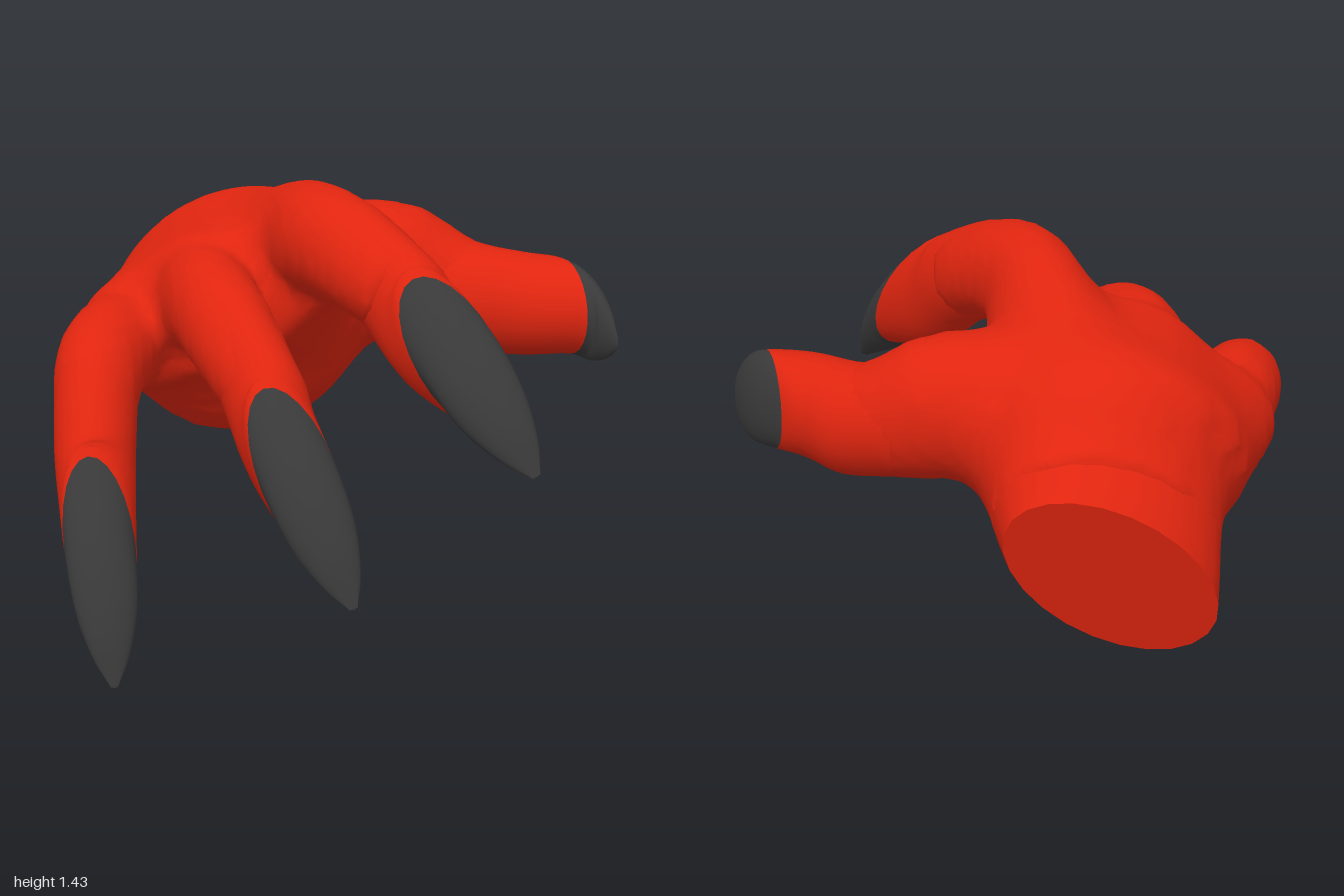
import * as THREE from 'three';

const SIDES = 24, STEPS = 5, BLEND = 0.1, CELL = 0.036;
const vec = (a) => new THREE.Vector3(...a);

// Smooth elliptical cross-sections through rings { top, bottom, w }; u counts rings
function sectionsOf(rings, facing) {
  const curve = (f) => new THREE.CatmullRomCurve3(rings.map(f), false, 'catmullrom', 0.5);
  const tops = curve((r) => r.top), bottoms = curve((r) => r.bottom);
  const widths = curve((r) => new THREE.Vector3(r.w, 0, 0));
  return (u) => {
    const t = u / (rings.length - 1), up = tops.getPoint(t);
    const centre = up.clone().add(bottoms.getPoint(t)).multiplyScalar(0.5);
    up.sub(centre);
    return { centre, up, side: up.clone().cross(facing).setLength(widths.getPoint(t).x) };
  };
}

// Skins the sections from ring 'from' to ring 'to'
function loft(section, from, to, capStart, capEnd) {
  const pos = [], index = [], count = (to - from) * STEPS;
  for (let i = 0; i <= count; i++) {
    const { centre, up, side } = section(from + i / STEPS);
    for (let j = 0; j < SIDES; j++) {
      const a = (j / SIDES) * Math.PI * 2;
      pos.push(...centre.clone().addScaledVector(up, Math.cos(a)).addScaledVector(side, Math.sin(a)).toArray());
    }
  }
  for (let i = 0; i < count; i++) {
    for (let j = 0; j < SIDES; j++) {
      const a = i * SIDES + j, b = i * SIDES + (j + 1) % SIDES;
      index.push(a, a + SIDES, b, b, a + SIDES, b + SIDES);
    }
  }
  // The rounded end shares its rim; the flat start gets its own rim for a sharp edge.
  if (capEnd) {
    const mid = pos.length / 3, base = count * SIDES;
    pos.push(...section(to).centre.toArray());
    for (let j = 0; j < SIDES; j++) index.push(base + j, mid, base + (j + 1) % SIDES);
  }
  if (capStart) {
    const rim = pos.length / 3;
    pos.push(...pos.slice(0, SIDES * 3), ...section(from).centre.toArray());
    for (let j = 0; j < SIDES; j++) index.push(rim + j, rim + (j + 1) % SIDES, rim + SIDES);
  }
  const g = new THREE.BufferGeometry();
  g.setAttribute('position', new THREE.Float32BufferAttribute(pos, 3));
  g.setIndex(index);
  g.computeVertexNormals();
  return g;
}

// Approximate distance from p to the tube between two sections
const axis = new THREE.Vector3(), v = new THREE.Vector3(), up = new THREE.Vector3(), side = new THREE.Vector3();
function tubeDistance(p, a, b) {
  axis.subVectors(b.centre, a.centre);
  const t = THREE.MathUtils.clamp(v.subVectors(p, a.centre).dot(axis) / axis.lengthSq(), 0, 1);
  v.addScaledVector(axis, -t);
  up.lerpVectors(a.up, b.up, t);
  side.lerpVectors(a.side, b.side, t);
  const over = v.dot(axis) / axis.length() / 0.05;
  const q = Math.hypot(v.dot(up) / up.lengthSq(), v.dot(side) / side.lengthSq(), over);
  return (q - 1) * Math.min(up.length(), side.length());
}

// One smooth skin around several chains of sections, melted together where they meet
function blendedSkin(chains, min, max) {
  const n = [0, 1, 2].map((a) => Math.ceil((max[a] - min[a]) / CELL) + 1);
  const stride = [1, n[0], n[0] * n[1]];
  const values = new Float32Array(n[0] * n[1] * n[2]);
  const point = (id) => new THREE.Vector3(id % n[0], Math.floor(id / n[0]) % n[1], Math.floor(id / stride[2]))
    .multiplyScalar(CELL).add(vec(min));
  for (let id = 0; id < values.length; id++) {
    const p = point(id);
    values[id] = chains.reduce((sum, chain) => {
      let d = 10;
      for (let i = 1; i < chain.length; i++) d = Math.min(d, tubeDistance(p, chain[i - 1], chain[i]));
      const h = Math.max(BLEND - Math.abs(sum - d), 0);
      return Math.min(sum, d) - h * h / (4 * BLEND);
    }, 10);
  }
  // One vertex per cell that the surface crosses
  const pos = [], index = [], vertex = new Map();
  const last = values.length - stride[0] - stride[1] - stride[2];
  for (let id = 0; id < last; id++) {
    const sum = new THREE.Vector3();
    let hits = 0;
    for (let c = 0; c < 8; c++) {
      const from = id + (c & 1) * stride[0] + (c >> 1 & 1) * stride[1] + (c >> 2) * stride[2];
      for (let a = 0; a < 3; a++) {
        const to = from + stride[a];
        if (c >> a & 1 || values[from] < 0 === values[to] < 0) continue;
        sum.add(point(from).lerp(point(to), values[from] / (values[from] - values[to])));
        hits++;
      }
    }
    if (!hits) continue;
    vertex.set(id, pos.length / 3);
    pos.push(...sum.divideScalar(hits).toArray());
  }
  // One quad around each crossed grid edge
  for (let id = 0; id < last; id++) {
    for (let a = 0; a < 3; a++) {
      const inside = values[id] < 0;
      if (inside === values[id + stride[a]] < 0) continue;
      const s = stride[(a + 1) % 3], t = stride[(a + 2) % 3];
      const quad = [id - s - t, id - t, id, id - s].map((cell) => vertex.get(cell));
      if (!inside) quad.reverse();
      index.push(quad[0], quad[1], quad[2], quad[0], quad[2], quad[3]);
    }
  }
  const g = new THREE.BufferGeometry();
  g.setAttribute('position', new THREE.Float32BufferAttribute(pos, 3));
  g.setIndex(index);
  g.computeVertexNormals();
  return g;
}

// Rings square to a path of [x, y, z, halfWidth], a fingertip pad, then a slanted tapering claw
function digitRings({ path, depth, back, facing, claw }) {
  const top = vec(claw.top), bottom = vec(claw.bottom), tip = vec(claw.tip);
  const points = path.map(([x, y, z]) => new THREE.Vector3(x, y, z));
  points.push(top.clone().lerp(bottom, 0.5));
  const rings = path.map(([, , , w], i) => {
    const along = points[i + 1].clone().sub(points[Math.max(i - 1, 0)]).normalize();
    const out = back.clone().addScaledVector(along, -back.dot(along)).setLength(w * depth);
    return { top: points[i].clone().add(out), bottom: points[i].clone().sub(out), w };
  });
  const end = rings[path.length - 1];
  rings.push({
    top: end.top.clone().lerp(top, 0.55),
    bottom: end.bottom.clone().lerp(bottom, 0.5).addScaledVector(back, -0.045),
    w: (end.w + claw.w) / 2,
  });
  for (const u of [0, 0.35, 0.7, 0.985]) {
    rings.push({
      top: top.clone().lerp(tip, u).addScaledVector(facing, 0.22 * u * (1 - u)),
      bottom: bottom.clone().lerp(tip, u),
      w: claw.w * (1 - 0.92 * u * u),
    });
  }
  return rings;
}

export function createModel() {
  const skin = new THREE.MeshStandardMaterial({ color: 0xe0250f });
  skin.name = 'redSkin';
  const horn = new THREE.MeshStandardMaterial({ color: 0x3a3a3a });
  horn.name = 'darkClaw';
  const hand = new THREE.Group();
  hand.name = 'clawedHand';
  const add = (name, geometry, material) => {
    const mesh = new THREE.Mesh(geometry, material);
    mesh.name = name;
    hand.add(mesh);
  };
  const chain = (section, from, to, shrink) => Array.from({ length: (to - from) * 3 + 1 }, (_, i) => {
    const s = section(from + i / 3), k = 1 - shrink * Math.max(0, (i + 3) / 3 + from - to);
    s.up.multiplyScalar(k);
    s.side.multiplyScalar(k);
    return s;
  });

  // Wrist with a flat end, and the palm up to the knuckles
  const palm = sectionsOf([
    { top: vec([-0.34, 0.87, -1]), bottom: vec([-0.08, 0.49, -0.86]), w: 0.37 },
    { top: vec([-0.385, 1.05, -0.68]), bottom: vec([-0.065, 0.49, -0.62]), w: 0.39 },
    { top: vec([-0.44, 1.2, -0.42]), bottom: vec([-0.06, 0.535, -0.42]), w: 0.46 },
    { top: vec([-0.46, 1.21, -0.2]), bottom: vec([-0.2, 0.69, -0.2]), w: 0.46 },
    { top: vec([-0.52, 1.17, 0]), bottom: vec([-0.34, 0.81, 0]), w: 0.42 },
  ], new THREE.Vector3(0, 0, 1));
  add('wrist', loft(palm, 0, 1, true, false), skin);
  const chains = [chain(palm, 2 / 3, 4, 0)];

  // Outer half and claw of one digit; its root joins the blended skin
  const addDigit = (name, spec) => {
    const section = sectionsOf(digitRings(spec), spec.facing), n = spec.path.length;
    chains.push(chain(section, 0, n - 1, 0.1));
    add(name, loft(section, n - 2, n + 1, false, false), skin);
    add(name + 'Claw', loft(section, n + 1, n + 4, false, true), horn);
  };
  const upward = new THREE.Vector3(0, 1, 0);
  addDigit('indexFinger', {
    depth: 1.18, back: upward, facing: new THREE.Vector3(0.12, 0, 1).normalize(),
    path: [[-0.19, 1.03, -0.45, 0.14], [-0.11, 1.17, -0.12, 0.17], [-0.06, 1.25, 0.15, 0.16],
      [0.02, 1.24, 0.32, 0.148], [0.14, 1.16, 0.49, 0.14]],
    claw: { top: [0.16, 1.24, 0.66], bottom: [0.41, 0.79, 0.82], w: 0.132, tip: [0.5, 0.68, 0.97] },
  });
  addDigit('middleFinger', {
    depth: 1.18, back: upward, facing: new THREE.Vector3(0.06, 0, 1).normalize(),
    path: [[-0.4, 0.98, -0.4, 0.13], [-0.43, 1.01, -0.1, 0.16], [-0.42, 1.04, 0.13, 0.152],
      [-0.38, 1, 0.32, 0.143], [-0.3, 0.87, 0.52, 0.133]],
    claw: { top: [-0.31, 0.92, 0.7], bottom: [-0.12, 0.4, 0.88], w: 0.122, tip: [-0.07, 0.29, 1] },
  });
  addDigit('littleFinger', {
    depth: 1.18, back: upward, facing: new THREE.Vector3(0, 0, 1),
    path: [[-0.55, 0.86, -0.35, 0.1], [-0.68, 0.86, -0.11, 0.14], [-0.76, 0.86, 0.08, 0.145],
      [-0.8, 0.81, 0.23, 0.14], [-0.82, 0.64, 0.39, 0.132]],
    claw: { top: [-0.85, 0.67, 0.54], bottom: [-0.8, 0.13, 0.72], w: 0.112, tip: [-0.8, 0, 0.83] },
  });
  addDigit('thumb', {
    depth: 0.92, back: new THREE.Vector3(0, 0, -1), facing: new THREE.Vector3(1, 0, 0),
    path: [[-0.06, 1, -0.33, 0.22], [0.21, 1.02, -0.33, 0.24], [0.39, 0.97, -0.29, 0.205],
      [0.55, 0.93, -0.21, 0.19]],
    claw: { top: [0.79, 0.95, -0.2], bottom: [0.86, 0.92, 0.13], w: 0.165, tip: [0.95, 0.86, 0.2] },
  });
  add('palmAndKnuckles', blendedSkin(chains, [-1.05, 0.34, -0.9], [0.75, 1.54, 0.72]), skin);
  return hand;
}
